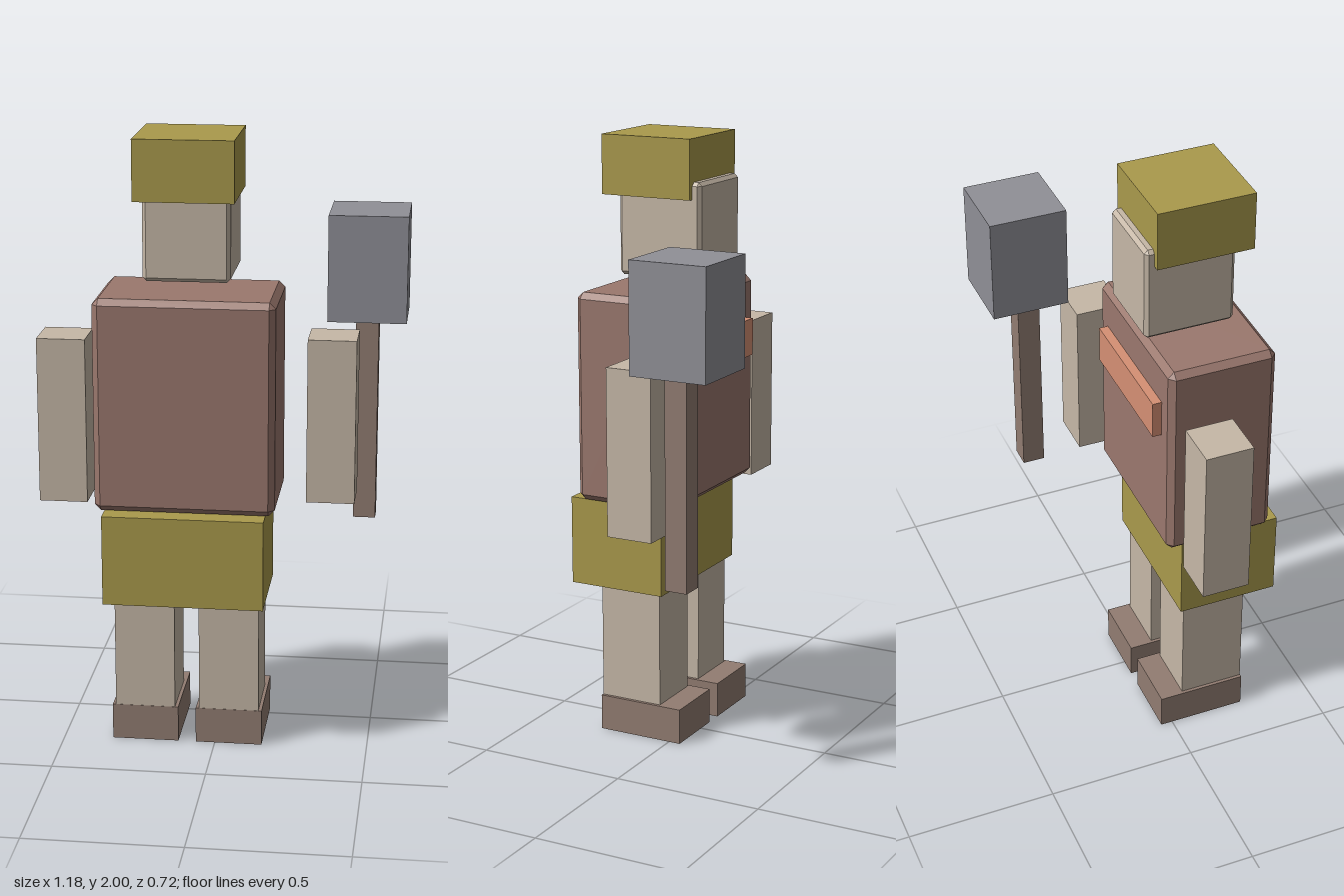
import * as THREE from 'three';
import { ConvexGeometry } from 'three/addons/geometries/ConvexGeometry.js';

const paint = (color) => new THREE.MeshStandardMaterial({ color, flatShading: true });
const skin = paint(0xc6b8a7);
const gold = paint(0xaa9a4c);
const leather = paint(0x9b786e);
const boot = paint(0x927d72);
const steel = paint(0x909097);
const copper = paint(0xd69074);

// Box with every edge cut off by a flat chamfer
function chamferedBox(w, h, d, c) {
  const points = [];
  for (const sx of [-1, 1]) for (const sy of [-1, 1]) for (const sz of [-1, 1]) {
    const [x, y, z] = [sx * w / 2, sy * h / 2, sz * d / 2];
    points.push(
      new THREE.Vector3(x, y - sy * c, z - sz * c),
      new THREE.Vector3(x - sx * c, y, z - sz * c),
      new THREE.Vector3(x - sx * c, y - sy * c, z)
    );
  }
  return new ConvexGeometry(points);
}

export function createModel() {
  const model = new THREE.Group();
  model.name = 'blockFigure';

  // Block between [min, max] on each axis, optionally chamfered
  function block(name, material, [x0, x1], [y0, y1], [z0, z1], chamfer = 0) {
    const [w, h, d] = [x1 - x0, y1 - y0, z1 - z0];
    const geometry = chamfer ? chamferedBox(w, h, d, chamfer) : new THREE.BoxGeometry(w, h, d);
    const mesh = new THREE.Mesh(geometry, material);
    mesh.name = name;
    mesh.position.set((x0 + x1) / 2, (y0 + y1) / 2, (z0 + z1) / 2);
    model.add(mesh);
  }

  // Legs and feet, mirrored about the body's own centre line
  const centre = -0.092;
  for (const [side, s] of [['left', 1], ['right', -1]]) {
    const x = centre + s * 0.138;
    block(side + 'Leg', skin, [x - 0.098, x + 0.098], [0.12, 0.51], [0.04, 0.257]);
    block(side + 'Foot', boot, [x - 0.109, x + 0.109], [0, 0.12], [-0.04, 0.258]);
  }

  // Body
  block('hips', gold, [-0.35, 0.167], [0.51, 0.807], [0.021, 0.358]);
  block('torso', leather, [-0.38, 0.197], [0.81, 1.503], [-0.04, 0.318], 0.02);
  block('chestStrap', copper, [-0.315, 0.132], [1.24, 1.365], [-0.07, -0.02]);

  // Arms
  block('leftArm', skin, [0.278, 0.436], [0.783, 1.33], [-0.091, 0.066]);
  block('rightArm', skin, [-0.59, -0.432], [0.783, 1.33], [-0.01, 0.147]);

  // Head and helmet
  block('head', skin, [-0.229, 0.048], [1.546, 1.861], [-0.06, 0.237], 0.012);
  block('helmet', gold, [-0.251, 0.066], [1.806, 2.0], [-0.031, 0.288]);

  // Hammer
  block('hammerHandle', boot, [0.419, 0.494], [0.658, 1.35], [-0.247, -0.172]);
  block('hammerHead', steel, [0.328, 0.587], [1.35, 1.703], [-0.36, -0.102]);

  return model;
}
